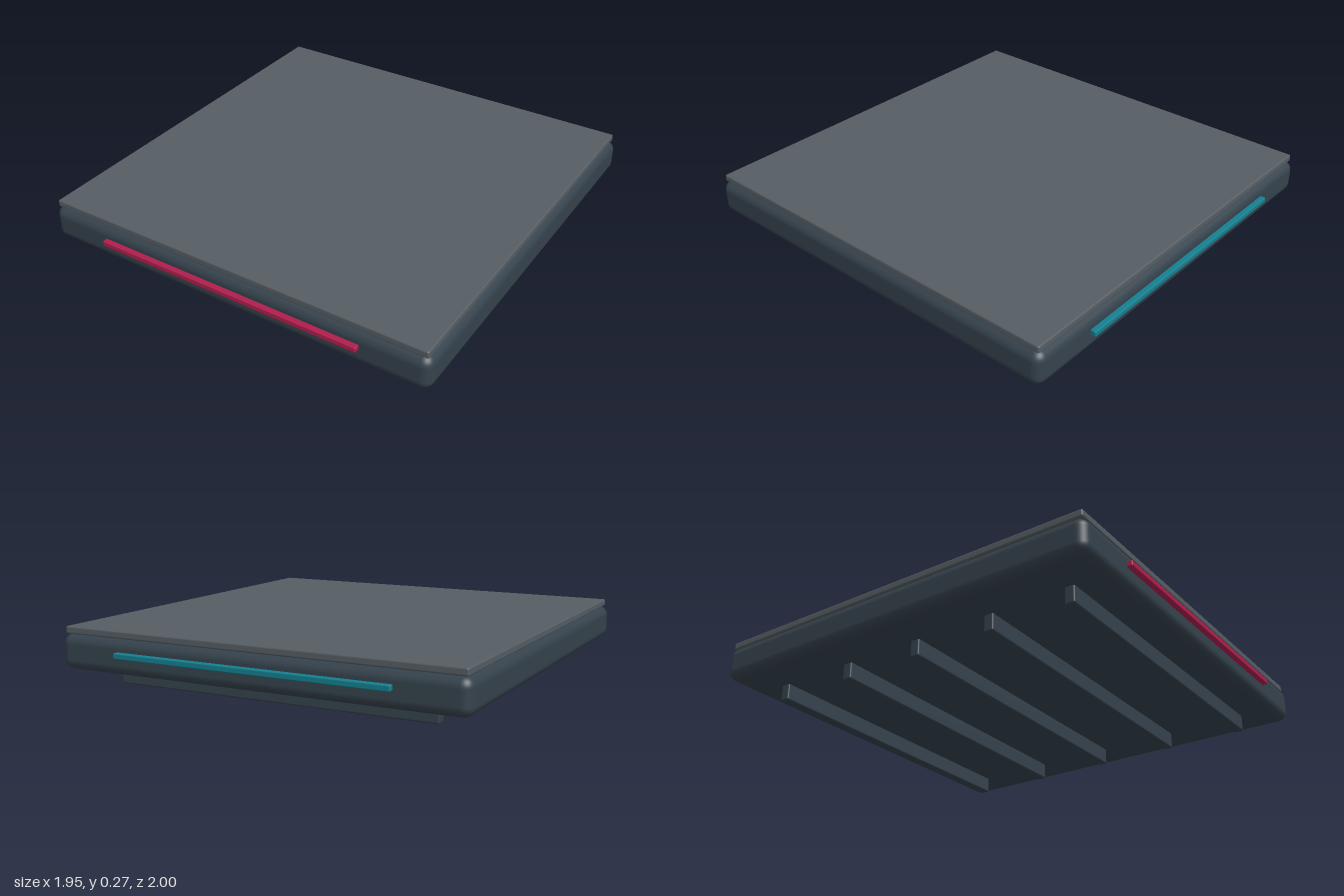
import * as THREE from 'three';
import { RoundedBoxGeometry } from 'three/addons/geometries/RoundedBoxGeometry.js';

const mat = (color) => new THREE.MeshStandardMaterial({ color });

// Rounded box spanning heights y0 to y1
function slab(name, width, y0, y1, depth, radius, material, z = 0) {
  const geometry = new RoundedBoxGeometry(width, y1 - y0, depth, 4, radius);
  const mesh = new THREE.Mesh(geometry, material);
  mesh.name = name;
  mesh.position.set(0, (y0 + y1) / 2, z);
  return mesh;
}

export function createModel() {
  const model = new THREE.Group();
  model.name = 'floorPanel';
  const dark = mat(0x35424c);
  const slate = mat(0x555d63);

  // Main body and the thin plate on top
  model.add(slab('body', 1.95, 0.078, 0.238, 1.95, 0.045, dark));
  model.add(slab('topPlate', 1.916, 0.238, 0.272, 1.916, 0.008, slate));

  // Light strips: red at the front, teal at the back
  model.add(slab('frontStrip', 1.32, 0.157, 0.183, 0.05, 0.005, mat(0xb01e4e), 0.975));
  model.add(slab('backStrip', 1.32, 0.157, 0.183, 0.05, 0.005, mat(0x147f8f), -0.975));

  // Ribs across the underside
  const ribs = new THREE.Group();
  ribs.name = 'undersideRibs';
  for (let i = -2; i <= 2; i++) {
    ribs.add(slab('rib', 1.56, 0, 0.09, 0.047, 0.008, dark, i * 0.391));
  }
  model.add(ribs);
  return model;
}
